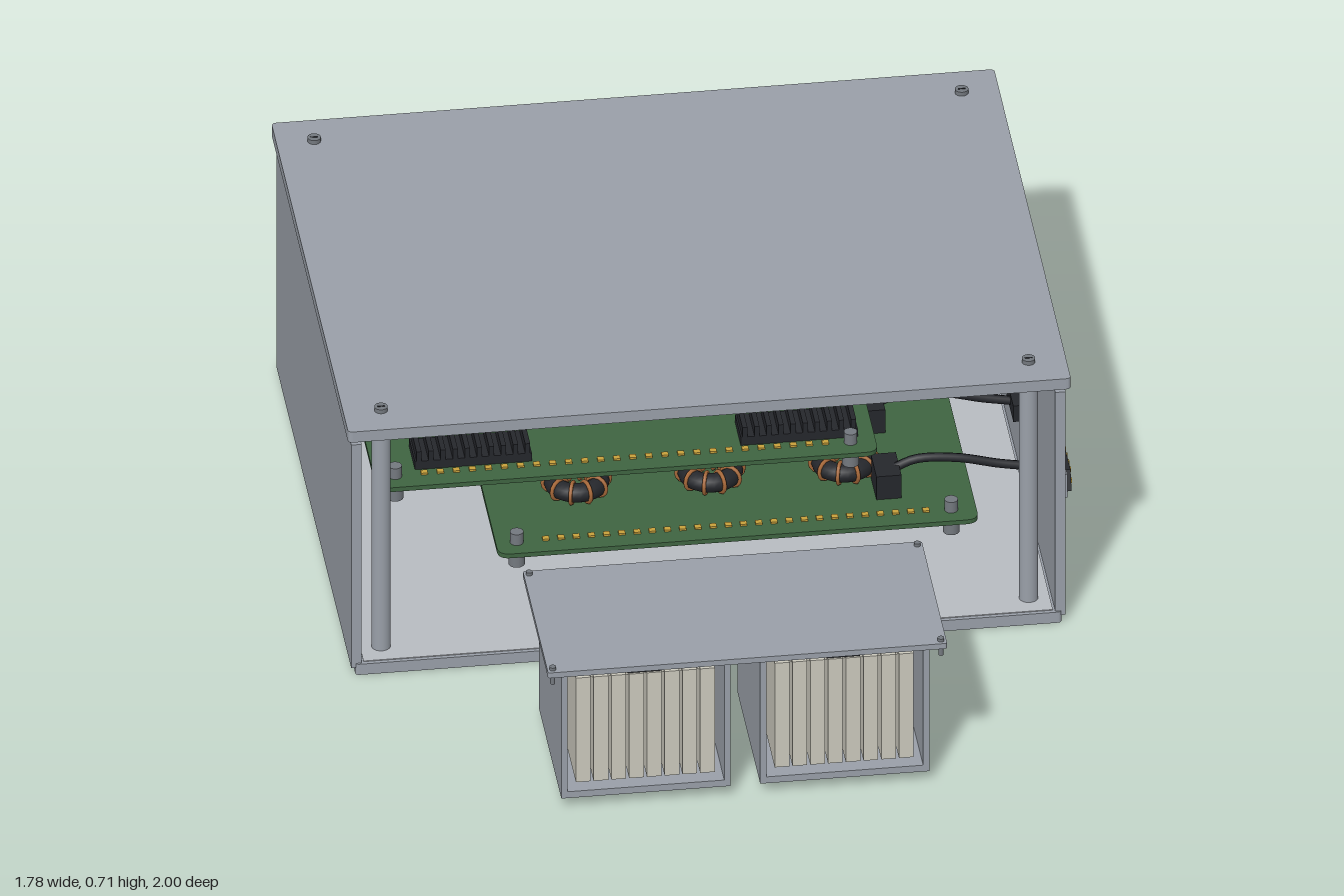
import * as THREE from 'three';

const mat = (name, color) => { const m = new THREE.MeshStandardMaterial({ color }); m.name = name; return m; };

export function createModel() {
  const root = new THREE.Group();
  const M = {
    steel: mat('grey steel', 0x9aa0a9),
    floor: mat('light grey', 0xb8bcc2),
    metal: mat('screw grey', 0x74797f),
    green: mat('board green', 0x3f6541),
    black: mat('black plastic', 0x25272c),
    gold: mat('gold', 0xc9a23c),
    copper: mat('copper', 0xa8693a),
    cream: mat('cream', 0xcbc9bd),
  };
  const group = (name, parent = root) => { const g = new THREE.Group(); g.name = name; parent.add(g); return g; };
  const add = (parent, name, geo, m, x = 0, y = 0, z = 0) => {
    const mesh = new THREE.Mesh(geo, m);
    mesh.name = name;
    mesh.position.set(x, y, z);
    parent.add(mesh);
    return mesh;
  };
  // box given by its limits on each axis
  const box = (parent, name, m, x0, x1, y0, y1, z0, z1) =>
    add(parent, name, new THREE.BoxGeometry(x1 - x0, y1 - y0, z1 - z0), m, (x0 + x1) / 2, (y0 + y1) / 2, (z0 + z1) / 2);
  // upright cylinder between two heights
  const rod = (parent, name, m, x, z, r, y0, y1) =>
    add(parent, name, new THREE.CylinderGeometry(r, r, y1 - y0, 20), m, x, (y0 + y1) / 2, z);
  // flat plate with rounded corners
  const plate = (parent, name, m, x0, x1, y0, y1, z0, z1, r) => {
    const s = new THREE.Shape();
    s.moveTo(x0 + r, -z1); s.lineTo(x1 - r, -z1); s.quadraticCurveTo(x1, -z1, x1, -z1 + r);
    s.lineTo(x1, -z0 - r); s.quadraticCurveTo(x1, -z0, x1 - r, -z0);
    s.lineTo(x0 + r, -z0); s.quadraticCurveTo(x0, -z0, x0, -z0 - r);
    s.lineTo(x0, -z1 + r); s.quadraticCurveTo(x0, -z1, x0 + r, -z1);
    const geo = new THREE.ExtrudeGeometry(s, { depth: y1 - y0, bevelEnabled: false, curveSegments: 5 });
    geo.rotateX(-Math.PI / 2);
    return add(parent, name, geo, m, 0, y0, 0);
  };

  // enclosure: floor, three walls, open front
  const shell = group('enclosure');
  plate(shell, 'basePlate', M.steel, -0.87, 0.82, 0, 0.03, -0.975, 0.335, 0.01);
  box(shell, 'floorLiner', M.floor, -0.85, 0.80, 0.03, 0.032, -0.95, 0.325);
  box(shell, 'leftSideWall', M.steel, -0.88, -0.855, 0.018, 0.65, -0.985, 0.33);
  box(shell, 'rightSideWall', M.steel, 0.805, 0.83, 0.018, 0.65, -0.985, 0.33);
  box(shell, 'backWall', M.steel, -0.855, 0.805, 0.018, 0.65, -0.985, -0.96);

  // raised lid, posts and screws
  plate(root, 'lid', M.steel, -0.89, 0.84, 0.67, 0.70, -1, 0.35, 0.012);
  const posts = group('postsAndScrews');
  for (const x of [-0.80, 0.75]) for (const z of [-0.91, 0.265]) {
    rod(posts, 'post', M.steel, x, z, 0.023, 0.03, 0.645);
    rod(posts, 'screwShank', M.metal, x, z, 0.009, 0.645, 0.70);
    rod(posts, 'postCap', M.metal, x, z, 0.017, 0.645, 0.66);
    rod(posts, 'lidScrew', M.metal, x, z, 0.016, 0.70, 0.711);
    box(posts, 'screwSlot', M.black, x - 0.009, x + 0.009, 0.711, 0.712, z - 0.002, z + 0.002);
  }

  // circuit boards with pads, standoffs and chips
  const board = (name, x0, x1, y, z0, z1) => {
    const g = group(name);
    plate(g, 'board', M.green, x0, x1, y - 0.012, y, z0, z1, 0.03);
    for (let i = 0; i < 26; i++) {
      const x = x0 + 0.12 + (x1 - x0 - 0.24) * i / 25;
      box(g, 'frontPad', M.gold, x - 0.008, x + 0.008, y, y + 0.005, z1 - 0.06, z1 - 0.045);
      box(g, 'backPad', M.gold, x - 0.008, x + 0.008, y, y + 0.005, z0 + 0.045, z0 + 0.06);
    }
    for (const x of [x0 + 0.05, x1 - 0.06]) for (const z of [z0 + 0.05, z1 - 0.05]) {
      rod(g, 'standoff', M.metal, x, z, 0.02, y - 0.06, y - 0.012);
      rod(g, 'boardScrew', M.metal, x, z, 0.016, y, y + 0.03);
    }
    return g;
  };
  const upper = board('upperBoard', -0.78, 0.42, 0.335, -0.72, 0.05);
  const lower = board('lowerBoard', -0.50, 0.65, 0.175, -0.65, 0.13);

  // finned black headers on the upper board
  for (const x of [-0.54, 0.24]) for (const z of [-0.07, -0.55]) {
    box(upper, 'headerBase', M.black, x - 0.14, x + 0.14, 0.335, 0.358, z - 0.05, z + 0.05);
    for (let i = 0; i < 10; i++) {
      const fx = x - 0.13 + i * 0.0289;
      box(upper, 'headerFin', M.black, fx - 0.006, fx + 0.006, 0.358, 0.385, z - 0.05, z + 0.05);
    }
  }
  for (const x of [-0.25, -0.1, 0.03]) box(upper, 'chip', M.black, x - 0.04, x + 0.04, 0.335, 0.36, -0.38, -0.3);
  box(upper, 'undersideBlock', M.metal, -0.68, -0.42, 0.285, 0.323, -0.4, -0.1);

  // wound coils on the lower board
  for (const x of [-0.28, 0.04, 0.36]) for (const z of [-0.12, -0.45]) {
    const coil = group('coil', lower);
    coil.position.set(x, 0.205, z);
    const core = new THREE.TorusGeometry(0.055, 0.024, 10, 28);
    core.rotateX(Math.PI / 2);
    add(coil, 'coilCore', core, M.black);
    for (let i = 0; i < 10; i++) {
      const a = i * Math.PI / 5;
      const turn = add(coil, 'winding', new THREE.TorusGeometry(0.026, 0.005, 6, 14), M.copper, Math.cos(a) * 0.055, 0, Math.sin(a) * 0.055);
      turn.rotation.y = -a;
    }
  }

  // side sockets with pins, each wired to the lower board
  for (const z of [-0.035, -0.32, -0.607]) {
    const g = group('sideSocket');
    box(g, 'flange', M.steel, 0.83, 0.87, 0.175, 0.24, z - 0.1, z + 0.1);
    const s = new THREE.Shape([[-0.088, -0.022], [0.088, -0.022], [0.068, 0.026], [-0.068, 0.026]].map(p => new THREE.Vector2(...p)));
    const geo = new THREE.ExtrudeGeometry(s, { depth: 0.012, bevelEnabled: false });
    geo.rotateY(Math.PI / 2);
    add(g, 'socketFace', geo, M.black, 0.87, 0.206, z);
    for (const [n, y] of [[5, 0.197], [4, 0.218]]) for (let i = 0; i < n; i++)
      box(g, 'pin', M.gold, 0.88, 0.886, y - 0.005, y + 0.005, z + (i - (n - 1) / 2) * 0.03 - 0.005, z + (i - (n - 1) / 2) * 0.03 + 0.005);
    box(g, 'socketBack', M.black, 0.785, 0.83, 0.185, 0.23, z - 0.06, z + 0.06);
    const path = new THREE.CatmullRomCurve3([[0.46, 0.225], [0.52, 0.25], [0.62, 0.245], [0.72, 0.22], [0.80, 0.205]]
      .map(([x, y]) => new THREE.Vector3(x, y, z)));
    add(g, 'cable', new THREE.TubeGeometry(path, 20, 0.011, 8), M.black);
    box(g, 'cablePlug', M.black, 0.42, 0.48, 0.175, 0.24, z - 0.05, z + 0.05);
  }

  // detached front unit: cover plate over two open-ended frames of upright fins
  const unit = group('frontUnit');
  plate(unit, 'coverPlate', M.steel, -0.50, 0.455, 0.39, 0.405, 0.555, 1.0, 0.006);
  for (const x of [-0.487, 0.442]) for (const z of [0.57, 0.985]) {
    rod(unit, 'coverScrew', M.metal, x, z, 0.008, 0.405, 0.413);
    rod(unit, 'coverScrewTip', M.metal, x, z, 0.006, 0.365, 0.39);
  }
  for (const x0 of [-0.465, 0.011]) {
    const x1 = x0 + 0.405, g = group('finFrame', unit);
    box(g, 'frameBottom', M.steel, x0, x1, 0.03, 0.048, 0.58, 0.975);
    box(g, 'frameLeft', M.steel, x0, x0 + 0.015, 0.048, 0.385, 0.58, 0.975);
    box(g, 'frameRight', M.steel, x1 - 0.015, x1, 0.048, 0.385, 0.58, 0.975);
    for (let i = 0; i < 8; i++) {
      const fx = x0 + 0.055 + i * 0.0425;
      box(g, 'fin', M.cream, fx - 0.0175, fx + 0.0175, 0.06, 0.355, 0.60, 0.955);
    }
    box(g, 'finTie', M.cream, x0 + 0.04, x1 - 0.04, 0.345, 0.352, 0.62, 0.94);
    // small terminal block on top of the fins
    const c = (x0 + x1) / 2;
    box(g, 'terminal', M.black, c - 0.04, c + 0.04, 0.355, 0.378, 0.87, 0.95);
    for (let i = -1; i <= 1; i++) box(g, 'terminalContact', M.gold, c + i * 0.024 - 0.006, c + i * 0.024 + 0.006, 0.361, 0.371, 0.95, 0.954);
  }
  return root;
}
